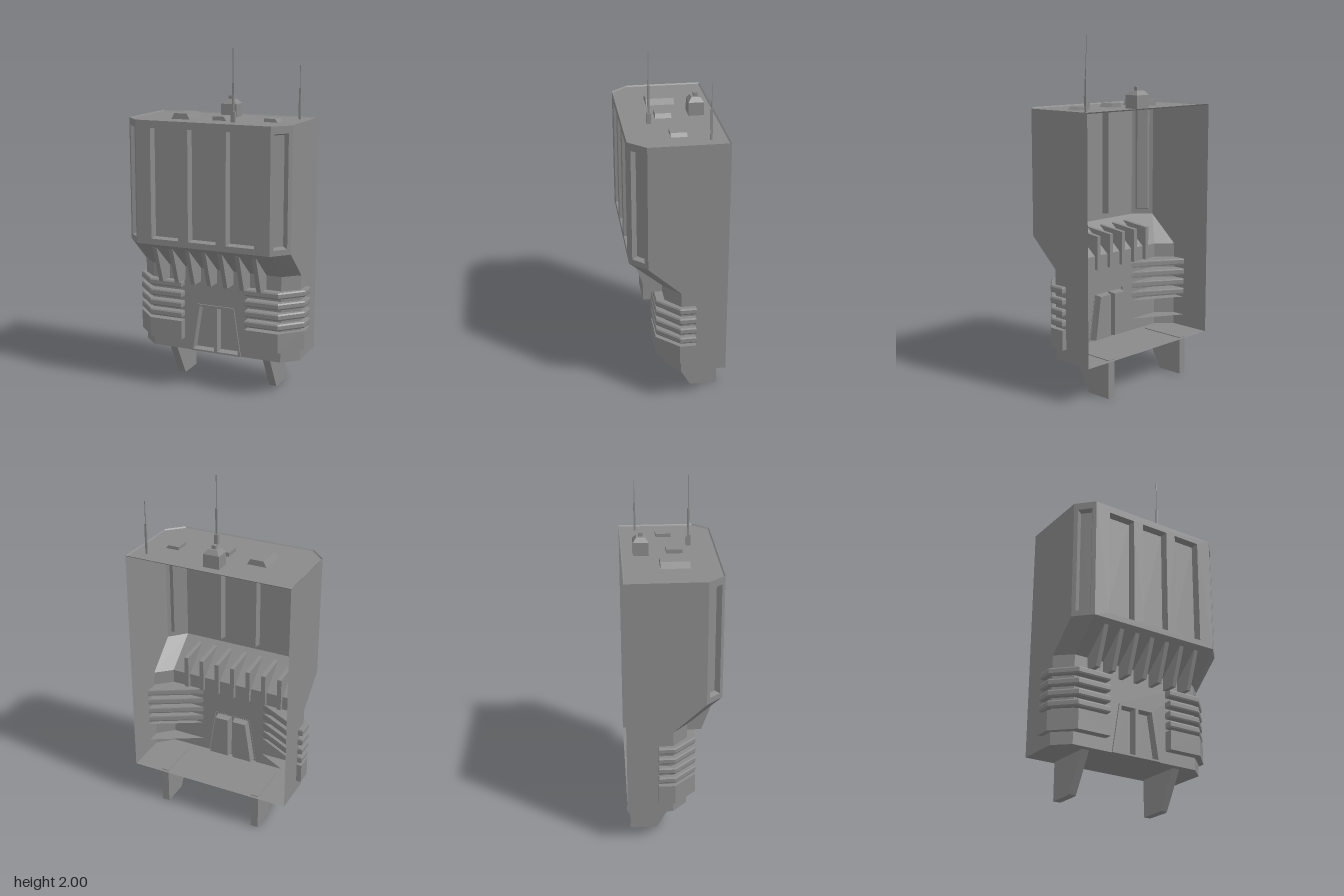
import * as THREE from 'three';

const mat = new THREE.MeshStandardMaterial({ color: 0x8a8a8a, flatShading: true, side: THREE.DoubleSide });

function mesh(name, geo, parent) {
  const m = new THREE.Mesh(geo, mat);
  m.name = name;
  parent.add(m);
  return m;
}

function group(name, parent) {
  const g = new THREE.Group();
  g.name = name;
  parent.add(g);
  return g;
}

// Surface through rows of [x, y, z] points
function loft(rows) {
  const n = rows[0].length, idx = [];
  for (let r = 0; r < rows.length - 1; r++) {
    for (let i = 0; i < n - 1; i++) {
      const a = r * n + i, b = a + 1, c = a + n, d = c + 1;
      idx.push(a, c, b, b, c, d);
    }
  }
  let g = new THREE.BufferGeometry();
  g.setAttribute('position', new THREE.Float32BufferAttribute(rows.flat(2), 3));
  g.setIndex(idx);
  g = g.toNonIndexed();
  g.computeVertexNormals();
  return g;
}

const vectors = pts => pts.map(p => new THREE.Vector2(...p));
const shapeOf = pts => new THREE.Shape(vectors(pts));
const atY = (plan, y) => plan.map(([x, z]) => [x, y, z]);
const loop = pts => [...pts, pts[0]];
const rect = (x0, x1, y0, y1) => [[x0, y0], [x1, y0], [x1, y1], [x0, y1]];
const mirrored = pts => pts.map(([x, y]) => [-x, y]).reverse();

// Flat wall in XY whose holes are filled by tapered recesses
function recessedWall(name, outline, holes, depth, inset, parent) {
  const g = group(name, parent);
  const s = shapeOf(outline);
  holes.forEach(h => s.holes.push(new THREE.Path(vectors(h))));
  mesh('wall', new THREE.ShapeGeometry(s), g);
  for (const h of holes) {
    const box = new THREE.Box2().setFromPoints(vectors(h));
    const c = box.getCenter(new THREE.Vector2()), d = box.getSize(new THREE.Vector2());
    const inner = h.map(([x, y]) => [c.x + (x - c.x) * (1 - 2 * inset / d.x), c.y + (y - c.y) * (1 - 2 * inset / d.y)]);
    const ring = (p, z) => loop(p).map(([x, y]) => [x, y, z]);
    mesh('recessSides', loft([ring(h, 0), ring(inner, -depth)]), g);
    mesh('recessPanel', new THREE.ShapeGeometry(shapeOf(inner)).translate(0, 0, -depth), g);
  }
  return g;
}

// Plate cut from a (z, y) profile, centred on x
function plate(name, profile, width, x, parent) {
  const geo = new THREE.ExtrudeGeometry(shapeOf(profile), { depth: width, bevelEnabled: false });
  mesh(name, geo.rotateY(-Math.PI / 2).translate(x + width / 2, 0, 0), parent);
}

// Horizontal cap from an (x, z) plan
function cap(name, plan, y, parent) {
  const geo = new THREE.ShapeGeometry(shapeOf(plan.map(([x, z]) => [x, -z])));
  mesh(name, geo.rotateX(-Math.PI / 2).translate(0, y, 0), parent);
}

// Block with separate bottom and top rectangles [x0, x1, z0, z1]
function taperBlock(name, bottom, top, y0, y1, parent) {
  mesh(name, loft([atY(loop(rect(...top)), y1), atY(loop(rect(...bottom)), y0)]), parent);
  cap(name + 'Top', rect(...top), y1, parent);
}

// Plan with chamfered front corners, shrunk by k
function planOf(front, cut, k = 0) {
  const half = [[0.494 - k, -0.267 + k], [0.494 - k, cut], [0.404 - k / 2, front - k]];
  return [...half, ...mirrored(half)];
}

export function createModel() {
  const root = new THREE.Group();
  root.name = 'building';
  const upper = planOf(0.267, 0.172), lower = planOf(0.072, -0.01);

  // Roof with a thin rim; floor
  const roof = planOf(0.267, 0.172, 0.007);
  mesh('roofRim', loft([atY(loop(upper), 1.602), atY(loop(roof), 1.595)]), root);
  cap('roof', roof, 1.595, root);
  cap('floor', lower, 0.22, root);

  // Upper front with three tall recesses
  const tall = [-0.23, 0, 0.23].map(x => rect(x - 0.084, x + 0.084, 0.927, 1.56));
  recessedWall('upperFront', rect(-0.404, 0.404, 0.893, 1.602), tall, 0.045, 0.006, root).position.z = 0.267;

  // Overhang sloping back to the lower storey
  mesh('overhang', loft([atY(upper, 0.893), atY(lower, 0.73)]), root);

  // Lower front, cut out around the doorway
  const frame = [[-0.16, 0.22], [0.16, 0.22], [0.115, 0.51], [-0.115, 0.51]];
  const half = [[0.115, 0.51], [0.16, 0.22], [0.404, 0.22], [0.404, 0.73]];
  mesh('lowerFront', new THREE.ShapeGeometry(shapeOf([...half, ...mirrored(half)])), root).position.z = 0.072;

  // Doorway: raised frame and two recessed leaves
  const leaf = [[0.01, 0.23], [0.144, 0.23], [0.101, 0.497], [0.01, 0.497]];
  const door = recessedWall('doorway', frame, [leaf, mirrored(leaf)], 0.045, 0.006, root);
  door.position.z = 0.08;
  const frameRing = z => loop(frame).map(([x, y]) => [x, y, z]);
  mesh('frameEdge', loft([frameRing(0), frameRing(-0.01)]), door);

  // Each side: walls, chamfered corner, louvres and leg
  const louvre = [[0.2, 0.072], [0.2, 0.122], [0.404, 0.122], [0.523, 0], [0.523, -0.092], [0.494, -0.092]];
  const louvreCore = [[0.203, 0.072], [0.203, 0.117], [0.402, 0.117], [0.518, -0.002], [0.518, -0.089], [0.494, -0.089]];
  for (const s of [1, -1]) {
    const side = group(s > 0 ? 'leftSide' : 'rightSide', root);
    side.scale.x = s;
    const upperSide = upper.slice(0, 2), lowerSide = lower.slice(0, 3);
    mesh('upperWall', loft([atY(upperSide, 1.602), atY(upperSide, 0.893)]), side);
    mesh('lowerWall', loft([atY(lowerSide, 0.73), atY(lowerSide, 0.22)]), side);
    mesh('wallBesideOverhang', loft([[[0.494, 0.893, -0.267], [0.494, 0.893, -0.01]], [[0.494, 0.73, -0.267], [0.494, 0.73, -0.01]]]), side);

    const w = Math.hypot(0.09, 0.095) / 2;
    const corner = recessedWall('cornerPanel', rect(-w, w, 0.893, 1.602), [rect(-0.042, 0.042, 0.925, 1.56)], 0.03, 0.01, side);
    corner.position.set(0.449, 0, 0.2195);
    corner.rotation.y = Math.atan2(0.095, 0.09);

    // Solid slats run through the wall, cut straight across inside
    for (const y of [0.646, 0.583, 0.52, 0.46]) {
      const rows = [atY(loop(louvreCore), y), atY(loop(louvre), y - 0.008), atY(loop(louvre), y - 0.03), atY(loop(louvreCore), y - 0.038)];
      mesh('louvreSlat', loft(rows), side);
      cap('louvreTop', louvreCore, y, side);
      cap('louvreUnderside', louvreCore, y - 0.038, side);
    }
    mesh('louvreBase', loft([atY(louvre, 0.405), atY(louvre, 0.291)]), side);
    cap('louvreBaseTop', louvre, 0.405, side);
    cap('louvreBaseUnderside', louvre, 0.291, side);

    plate('leg', [[0.035, 0.225], [-0.09, 0.005], [-0.1, 0], [-0.25, 0], [-0.25, 0.225]], 0.045, 0.3, side);
  }

  // Row of fins under the overhang
  for (let i = -3; i <= 3; i++) {
    plate('fin', [[0.24, 0.87], [0.16, 0.65], [0.05, 0.65], [0.05, 0.85]], 0.026, -0.004 + i * 0.102, root);
  }

  // Roof units
  taperBlock('largeHatch', [-0.267, -0.146, -0.063, 0.097], [-0.245, -0.167, -0.063, 0.097], 1.59, 1.628, root);
  taperBlock('middleHatch', [-0.017, 0.07, -0.016, 0.074], [-0.017, 0.05, -0.016, 0.074], 1.59, 1.618, root);
  taperBlock('smallHatch', [0.275, 0.36, -0.058, 0.03], [0.275, 0.338, -0.058, 0.03], 1.59, 1.614, root);

  // Rooftop turret
  const square = r => [-r, r, -0.157 - r * 0.9, -0.157 + r * 0.9];
  taperBlock('turretBody', square(0.048), square(0.048), 1.59, 1.67, root);
  taperBlock('turretShoulder', square(0.048), square(0.027), 1.67, 1.695, root);
  taperBlock('turretKnob', square(0.013), square(0.013), 1.69, 1.715, root);

  // Stepped antennas: [width, bottom, top]
  const antenna = (x, z, steps) => {
    const g = group('antenna', root);
    g.position.set(x, 0, z);
    for (const [d, y0, y1] of steps) {
      mesh('mast', new THREE.BoxGeometry(d, y1 - y0, d).translate(0, (y0 + y1) / 2, 0), g);
    }
  };
  antenna(0.126, 0.118, [[0.024, 1.59, 1.655], [0.011, 1.655, 1.81], [0.005, 1.81, 2]]);
  antenna(0.412, -0.174, [[0.011, 1.59, 1.77], [0.004, 1.77, 1.9]]);

  return root;
}
